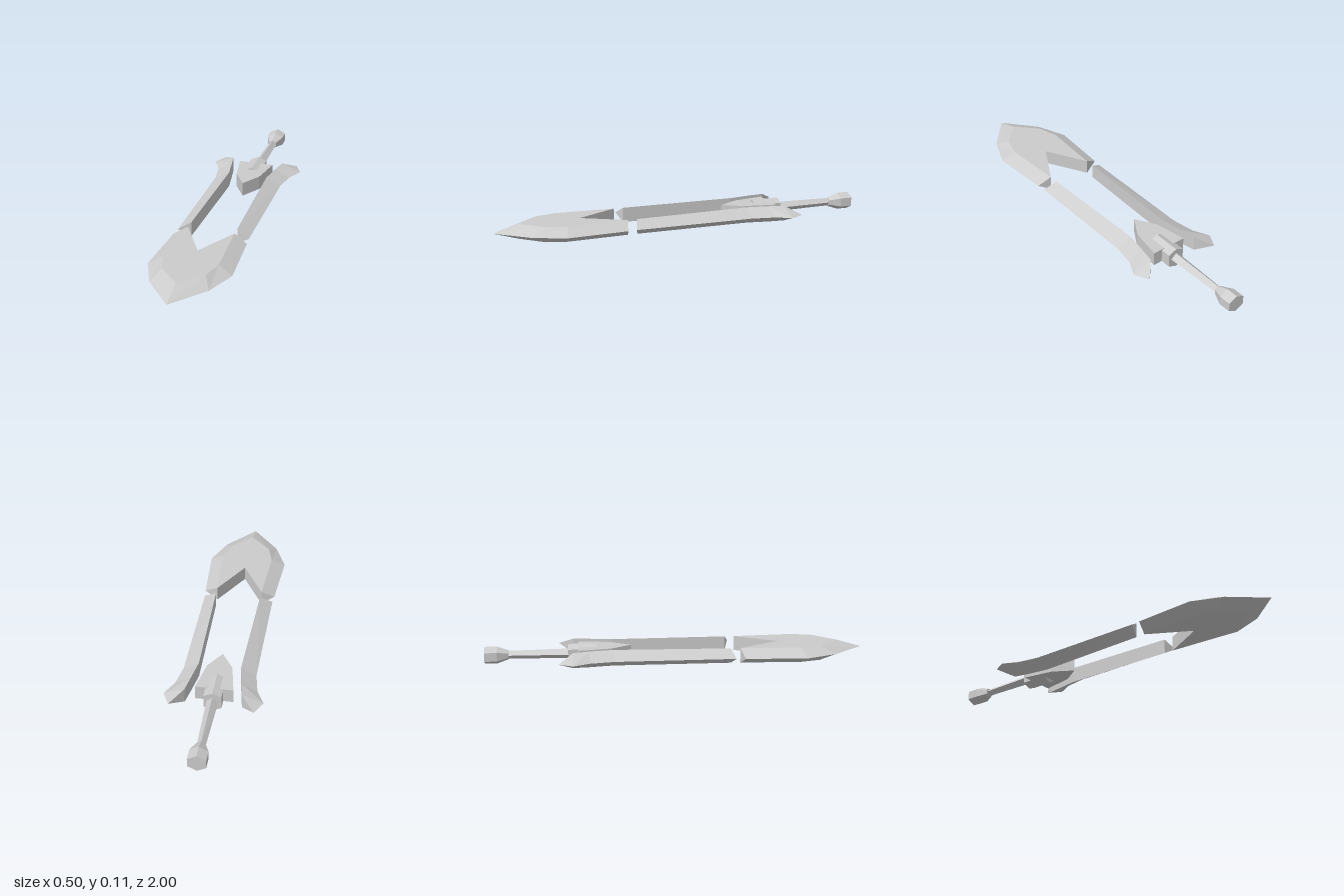
import * as THREE from 'three';

const MID = 0.0575; // height of the sword's middle plane
const grey = new THREE.MeshStandardMaterial({ color: 0xcccccc, flatShading: true });

// Joins cross-sections (rings of [x, y, z], y measured from MID) and caps both ends.
function loft(name, rings, mirror = 1) {
  const tris = [];
  const P = rings.map(r => r.map(([x, y, z]) => new THREE.Vector3(x * mirror, y + MID, z)));
  const n = P[0].length;
  const add = (a, b, c) => {
    const area = b.clone().sub(a).cross(c.clone().sub(a)).length();
    const onSeam = a.x === 0 && b.x === 0 && c.x === 0; // hidden wall between mirrored halves
    if (area > 1e-8 && !onSeam) tris.push([a, b, c]);
  };
  for (let i = 0; i < P.length - 1; i++) {
    for (let k = 0; k < n; k++) {
      const j = (k + 1) % n;
      add(P[i][k], P[i][j], P[i + 1][j]);
      add(P[i][k], P[i + 1][j], P[i + 1][k]);
    }
  }
  const last = P[P.length - 1];
  for (let k = 1; k < n - 1; k++) {
    add(P[0][0], P[0][k + 1], P[0][k]);
    add(last[0], last[k], last[k + 1]);
  }
  // turn the faces outward
  let volume = 0;
  for (const [a, b, c] of tris) volume += a.dot(b.clone().cross(c));
  if (volume < 0) tris.forEach(t => t.reverse());
  const geo = new THREE.BufferGeometry().setFromPoints(tris.flat());
  geo.computeVertexNormals();
  const mesh = new THREE.Mesh(geo, grey);
  mesh.name = name;
  return mesh;
}

// Regular or diamond ring around the grip axis, with a corner on top
function ring(sides, rx, ry, z) {
  return Array.from({ length: sides }, (_, k) => {
    const a = (k / sides) * Math.PI * 2;
    return [Math.sin(a) * rx, Math.cos(a) * ry, z];
  });
}

export function createModel() {
  const model = new THREE.Group();
  model.name = 'sword';

  // Blade tip: inner wall, edge of the flat and sharp outer edge, each as [x, z]
  const tip = [
    [[0.123, 0.33], [0.123, 0.33], [0.193, 0.35]],
    [[0, 0.55], [0.14, 0.65], [0.213, 0.67]],
    [[0, 0.7], [0.11, 0.757], [0.147, 0.83]],
    [[0, 0.87], [0, 0.87], [0, 1]],
  ].map(([i, f, o]) => [
    [i[0], 0.039, i[1]], [f[0], 0.039, f[1]], [o[0], 0, o[1]],
    [f[0], -0.039, f[1]], [i[0], -0.039, i[1]],
  ]);

  // Side blades: inner wall x, z, half height, then outer edge x, z
  const rail = [
    [0.122, 0.28, 0.039, 0.188, 0.302],
    [0.108, -0.335, 0.042, 0.187, -0.335],
    [0.128, -0.455, 0.042, 0.208, -0.455],
    [0.143, -0.54, 0.04, 0.25, -0.54],
    [0.212, -0.615, 0, 0.212, -0.615],
  ].map(([ix, iz, h, ox, oz]) => [[ix, h, iz], [ox, 0, oz], [ix, -h, iz]]);

  for (const side of [1, -1]) {
    const word = side > 0 ? 'left' : 'right';
    model.add(loft(word + 'BladeTip', tip, side));
    model.add(loft(word + 'SideBlade', rail, side));
  }

  // Guard: pointed plate
  const outline = [[0, 0.235], [0.065, 0.34], [0.096, 0.51], [-0.096, 0.51], [-0.065, 0.34]];
  model.add(loft('guardPlate', [0.038, -0.038].map(y => outline.map(([x, d]) => [x, y, -d]))));

  // Guard: ridged block through the plate
  const block = [[0, 0.051], [0.045, 0.031], [0.045, -0.037], [0, -0.0575], [-0.045, -0.037], [-0.045, 0.031]];
  model.add(loft('guardBlock', [-0.415, -0.565].map(z => block.map(([x, y]) => [x, y, z]))));

  // Grip and pommel
  model.add(loft('grip', [ring(4, 0.03, 0.026, -0.56), ring(4, 0.021, 0.021, -0.89)]));
  model.add(loft('pommel', [
    ring(6, 0.024, 0.024, -0.875), ring(6, 0.052, 0.046, -0.935), ring(6, 0.052, 0.046, -1),
  ]));
  return model;
}
